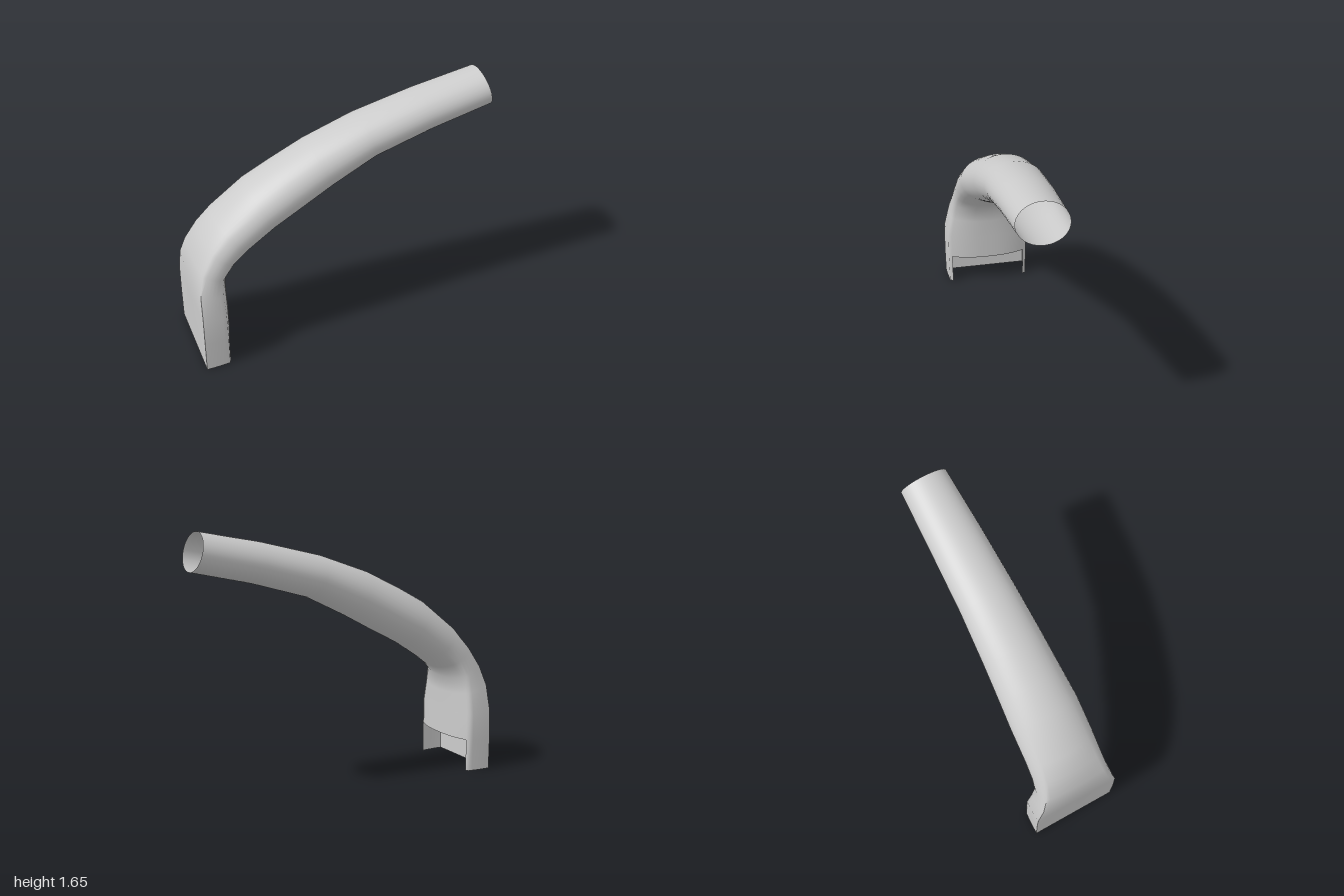
import * as THREE from 'three';
import { toCreasedNormals } from 'three/addons/utils/BufferGeometryUtils.js';

// Cross-sections from base to mouth:
// outer x, outer y, inner x, inner y, half width, roundness (0 = boxy, 1 = ellipse)
const SECTIONS = [
  [-1, 0, -0.79, 0, 0.29, 0],
  [-1, 0.21, -0.79, 0.21, 0.294, 0],
  [-1, 0.4, -0.79, 0.38, 0.293, 0.04],
  [-1, 0.57, -0.79, 0.51, 0.266, 0.22],
  [-0.975, 0.7, -0.785, 0.61, 0.245, 0.5],
  [-0.91, 0.84, -0.715, 0.68, 0.236, 0.75],
  [-0.82, 0.96, -0.62, 0.75, 0.233, 0.92],
  [-0.6, 1.14, -0.45, 0.86, 0.23, 1],
  [-0.42, 1.24, -0.26, 0.96, 0.217, 1],
  [-0.2, 1.35, -0.06, 1.07, 0.204, 1],
  [0.13, 1.47, 0.22, 1.21, 0.187, 1],
  [0.53, 1.57, 0.6, 1.32, 0.172, 1],
  [0.94, 1.65, 1, 1.41, 0.155, 1],
];
const HALF_BACK = 8, SIDE = 6, HALF_PANEL = 12;
const CORNER = 0.74; // depth of the side walls relative to the bulged inner panel

// Half outline from the middle of the back wall to the middle of the inner panel
function halfOutline() {
  const pts = [];
  const add = (u, v, degrees) => {
    const a = THREE.MathUtils.degToRad(degrees);
    pts.push({ box: [u, v], round: [(1 - Math.cos(a)) / 2, Math.sin(a)] });
  };
  for (let i = 0; i < HALF_BACK; i++) add(0, i / HALF_BACK, 50 * i / HALF_BACK);
  for (let i = 0; i < SIDE; i++) {
    const t = i / SIDE;
    add(CORNER * t, 1 - 0.03 * t * t, 50 + 60 * t);
  }
  for (let i = 0; i <= HALF_PANEL; i++) {
    const t = i / HALF_PANEL, v = 1 - t;
    add(CORNER + (1 - CORNER) * (1 - v ** 2.5), 0.97 * v, 110 + 70 * t);
  }
  return pts;
}

function ductGeometry() {
  const half = halfOutline();
  const mirrored = half.slice(1, -1).reverse().map(({ box, round }) => ({
    box: [box[0], -box[1]], round: [round[0], -round[1]],
  }));
  const ring = [...half, ...mirrored];
  const n = ring.length;
  const positions = [], index = [];
  for (const [ox, oy, ix, iy, w, k] of SECTIONS) {
    for (const { box, round } of ring) {
      const u = THREE.MathUtils.lerp(box[0], round[0], k);
      const v = THREE.MathUtils.lerp(box[1], round[1], k);
      positions.push(ox + (ix - ox) * u, oy + (iy - oy) * u, v * w);
    }
  }
  // The lowest row stays open across the inner panel, leaving a narrow lip
  const openFrom = HALF_BACK + SIDE + 1, openTo = n - openFrom;
  for (let r = 0; r < SECTIONS.length - 1; r++) {
    for (let i = 0; i < n; i++) {
      if (r === 0 && i >= openFrom && i < openTo) continue;
      const j = (i + 1) % n;
      const a = r * n + i, b = r * n + j;
      index.push(a, b, b + n, a, b + n, a + n);
    }
  }
  const geometry = new THREE.BufferGeometry();
  geometry.setAttribute('position', new THREE.Float32BufferAttribute(positions, 3));
  geometry.setIndex(index);
  return toCreasedNormals(geometry, 1.1);
}

export function createModel() {
  const model = new THREE.Group();
  model.name = 'curvedDuct';
  const material = new THREE.MeshStandardMaterial({ color: 0xcccccc, side: THREE.DoubleSide });
  const duct = new THREE.Mesh(ductGeometry(), material);
  duct.name = 'ductShell';
  model.add(duct);
  return model;
}
